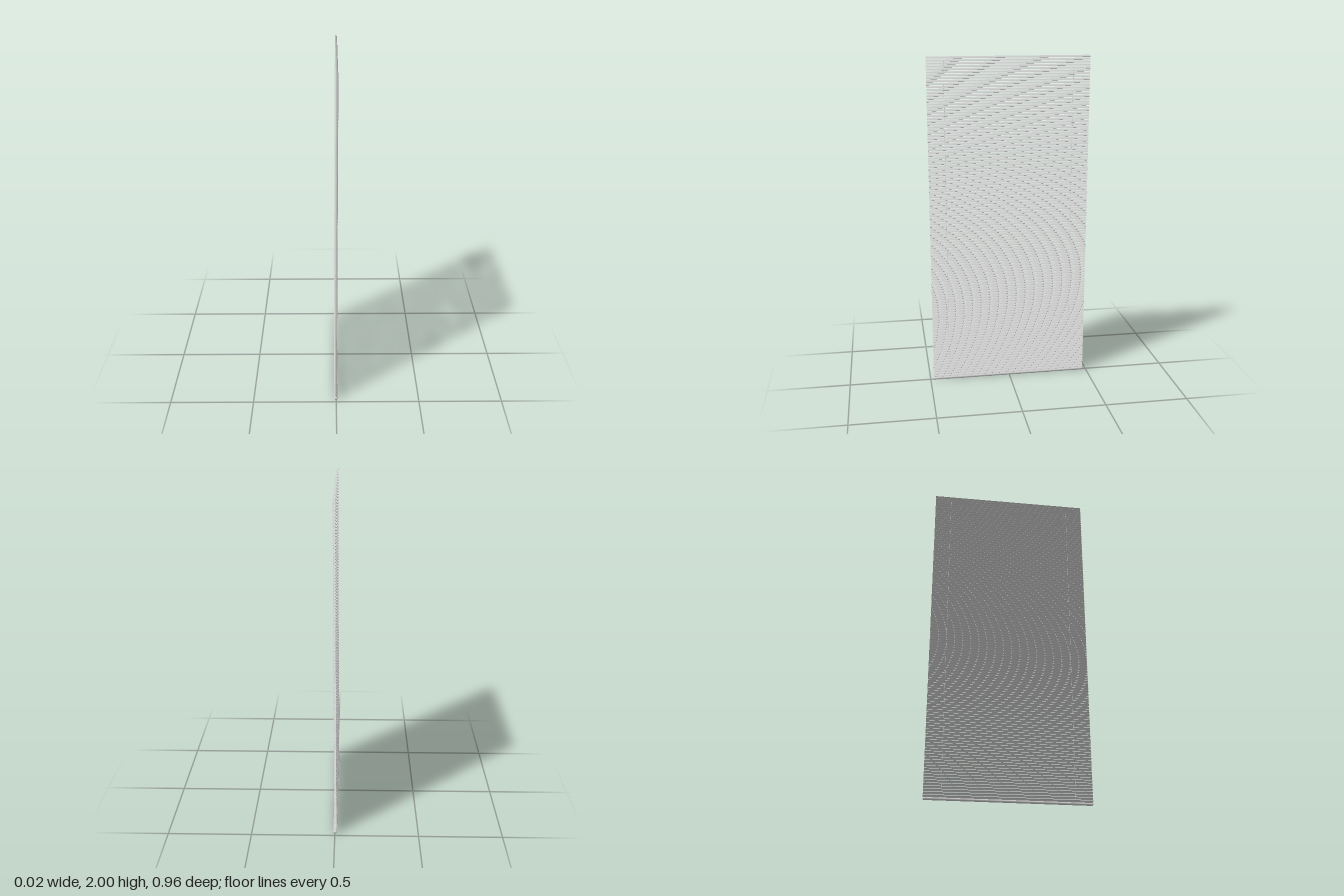
import * as THREE from 'three';
import { RoundedBoxGeometry } from 'three/addons/geometries/RoundedBoxGeometry.js';

const LENGTH = 0.96;      // slat length along z
const COUNT = 120;        // number of slats
const SLAT_X = 0.0125;    // horizontal run of a tilted slat
const SLAT_Y = 0.0105;    // vertical drop of a tilted slat
const CROWN = 0.0016;     // gentle arch across a slat
const THICK = 0.0008;     // slat thickness
const LOW = new THREE.Vector3(-0.0025, 0.022, 0);
const HIGH = new THREE.Vector3(0.0045, 2 - SLAT_Y / 2, 0);

// Tilted, arched slat: a thin crescent section run along z
function slatGeometry() {
  const point = (t, depth) => {
    const lift = CROWN * (1 - 4 * t * t) - depth;
    return new THREE.Vector2(t * SLAT_X + lift * 0.64, -t * SLAT_Y + lift * 0.77);
  };
  const steps = [-0.5, -0.25, 0, 0.25, 0.5];
  const outer = steps.map((t) => point(t, 0));
  const inner = steps.map((t) => point(t, THICK)).reverse();
  const section = new THREE.Shape([...outer, ...inner]);
  const geometry = new THREE.ExtrudeGeometry(section, { depth: LENGTH, bevelEnabled: false });
  return geometry.translate(0, 0, -LENGTH / 2);
}

export function createModel() {
  const model = new THREE.Group();
  model.name = 'venetianBlind';
  const material = new THREE.MeshStandardMaterial({ color: 0xcccccc });

  // Stack of slats, leaning very slightly from bottom to top
  const slats = new THREE.Group();
  slats.name = 'slats';
  const geometry = slatGeometry();
  for (let i = 0; i < COUNT; i++) {
    const slat = new THREE.Mesh(geometry, material);
    slat.name = 'slat';
    slat.position.lerpVectors(LOW, HIGH, i / (COUNT - 1));
    slats.add(slat);
  }
  model.add(slats);

  // Lift cords running through the slats, just behind their middle
  for (const side of [-1, 1]) {
    const offset = new THREE.Vector3(-0.0022, 0, side * 0.38);
    const path = new THREE.LineCurve3(
      new THREE.Vector3(LOW.x, 0.008, 0).add(offset),
      HIGH.clone().add(offset)
    );
    const cord = new THREE.Mesh(new THREE.TubeGeometry(path, 1, 0.00085, 6), material);
    cord.name = 'liftCord';
    model.add(cord);
  }

  // Bottom rail with fully rounded edges
  const rail = new THREE.Mesh(new RoundedBoxGeometry(0.023, 0.014, LENGTH, 4, 0.0068), material);
  rail.name = 'bottomRail';
  rail.position.set(-0.001, 0.007, 0);
  model.add(rail);

  return model;
}
